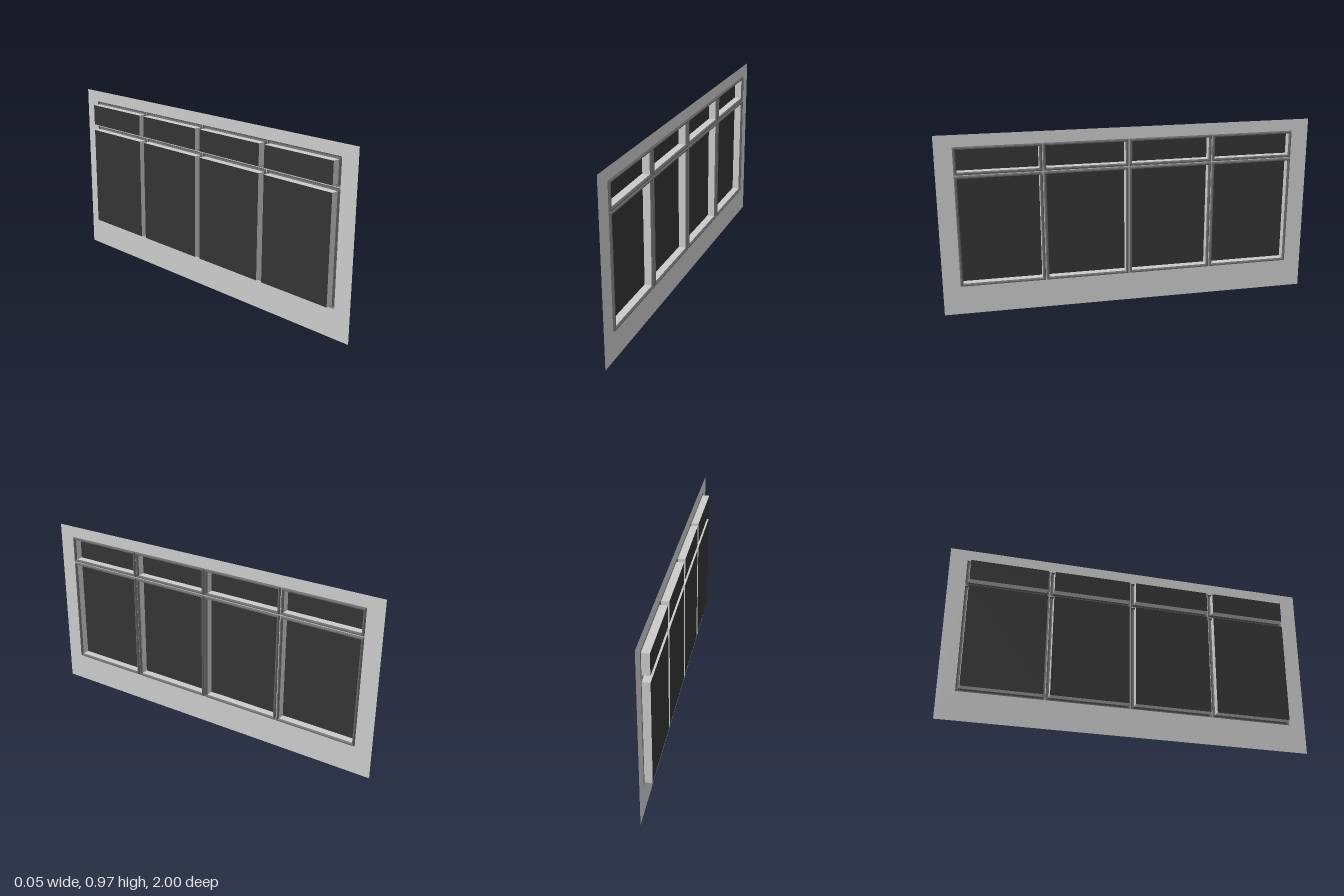
import * as THREE from 'three';

const WALL = 0.0145, RIDGE = 0.025, BACK = -0.025; // depths
const RIM = 0.0155; // width of the moulding round each opening

const mat = (color) => new THREE.MeshStandardMaterial({ color, side: THREE.DoubleSide, flatShading: true });

// Sweeps a [outset, depth] profile round a w x h rectangle with mitred corners
function mitredRing(w, h, profile) {
  const pos = [];
  const corners = [[-1, -1], [1, -1], [1, 1], [-1, 1]];
  const at = ([sx, sy], [o, d]) => [sx * (w / 2 + o), sy * (h / 2 + o), d];
  for (let c = 0; c < 4; c++) {
    const A = corners[c], B = corners[(c + 1) % 4];
    for (let i = 0; i + 1 < profile.length; i++) {
      const p = at(A, profile[i]), q = at(B, profile[i]);
      const r = at(B, profile[i + 1]), s = at(A, profile[i + 1]);
      pos.push(...p, ...q, ...r, ...p, ...r, ...s);
    }
  }
  const g = new THREE.BufferGeometry();
  g.setAttribute('position', new THREE.Float32BufferAttribute(pos, 3));
  g.computeVertexNormals();
  return g;
}

function rectPath(path, cx, cy, w, h) {
  path.moveTo(cx - w / 2, cy - h / 2);
  path.lineTo(cx + w / 2, cy - h / 2);
  path.lineTo(cx + w / 2, cy + h / 2);
  path.lineTo(cx - w / 2, cy + h / 2);
  path.closePath();
  return path;
}

export function createModel() {
  const model = new THREE.Group();
  model.name = 'windowWall';
  const facade = new THREE.Group(); // built facing +z, then turned to face +x
  facade.name = 'facade';
  facade.rotation.y = Math.PI / 2;
  model.add(facade);

  const grey = mat(0xcccccc), frameMat = mat(0x666666), glassMat = mat(0x343434);
  const add = (parent, name, geometry, material) => {
    const mesh = new THREE.Mesh(geometry, material);
    mesh.name = name;
    parent.add(mesh);
    return mesh;
  };

  const wall = rectPath(new THREE.Shape(), 0, 0.485, 2, 0.97);
  const w = 0.42;
  const rows = [
    { name: 'lowerWindow', bottom: 0.171, top: 0.741 },
    { name: 'upperWindow', bottom: 0.776, top: 0.892 },
  ];

  // Four columns of a tall window with a short one above
  for (const { name, bottom, top } of rows) {
    const h = top - bottom, cy = (top + bottom) / 2;
    for (let i = 0; i < 4; i++) {
      const cx = (i - 1.5) * 0.455;
      wall.holes.push(rectPath(new THREE.Path(), cx, cy, w + 2 * RIM, h + 2 * RIM));
      const win = new THREE.Group();
      win.name = name;
      win.position.set(cx, cy, 0);
      facade.add(win);

      // Raised bevelled moulding
      add(win, 'frame', mitredRing(w, h, [
        [RIM, WALL], [RIM - 0.005, RIDGE], [0.005, RIDGE], [0, WALL],
      ].reverse()).scale(1, 1, 1), frameMat);
      // Recess sides running back to the pane
      add(win, 'reveal', mitredRing(w, h, [[0, BACK], [0, WALL]]), grey);
      add(win, 'pane', new THREE.PlaneGeometry(w, h), glassMat).position.z = BACK;
    }
  }

  add(facade, 'wall', new THREE.ShapeGeometry(wall), grey).position.z = WALL;
  return model;
}
